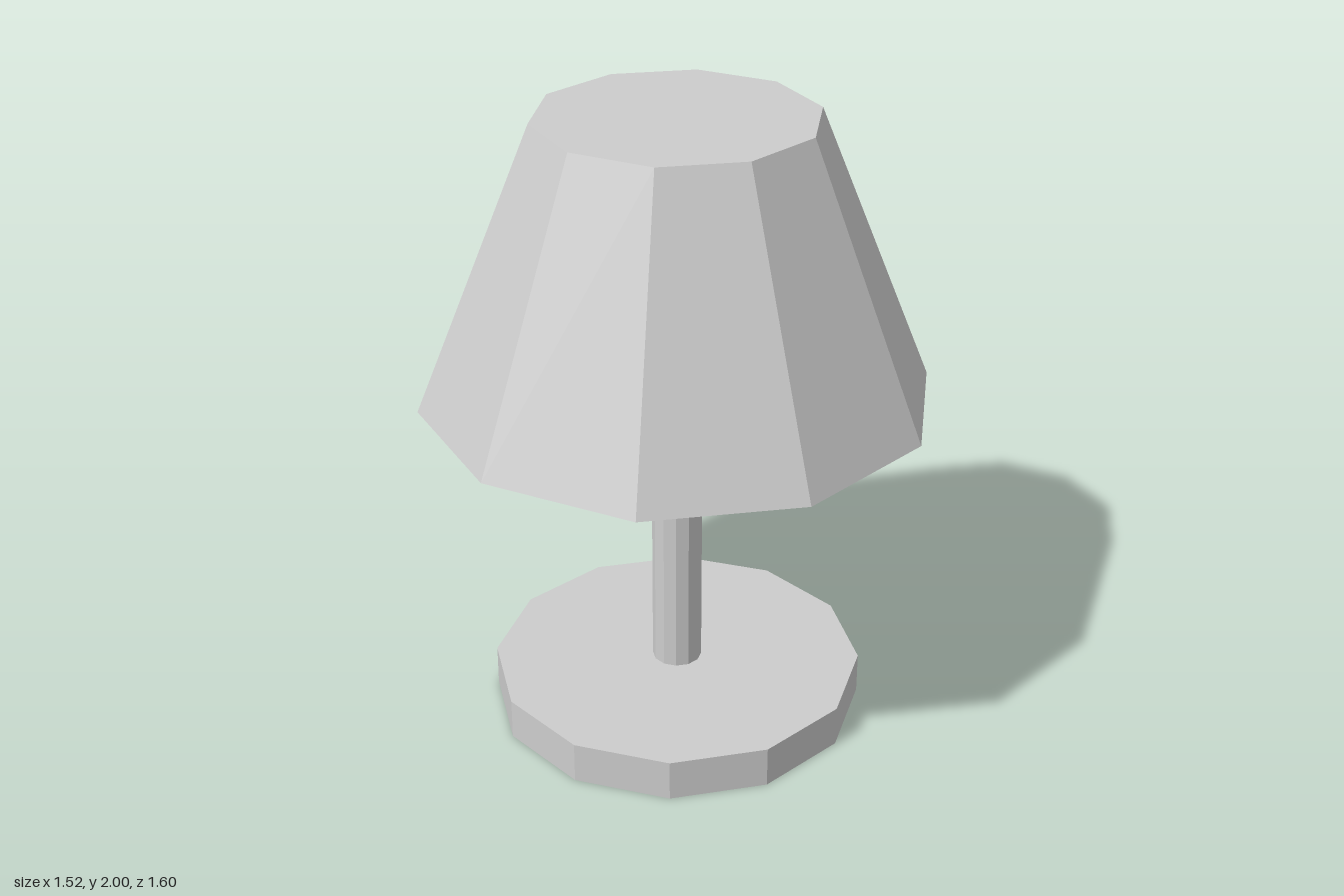
import * as THREE from 'three';

export function createModel() {
  const lamp = new THREE.Group();
  lamp.name = 'tableLamp';

  const grey = new THREE.MeshStandardMaterial({ color: 0xcccccc, flatShading: true });
  grey.name = 'light grey';

  // Adds one faceted, capped section standing between two heights
  function addSection(name, topRadius, bottomRadius, y0, y1, sides) {
    const geometry = new THREE.CylinderGeometry(topRadius, bottomRadius, y1 - y0, sides);
    const mesh = new THREE.Mesh(geometry, grey);
    mesh.name = name;
    mesh.position.y = (y0 + y1) / 2;
    lamp.add(mesh);
  }

  addSection('base', 0.6, 0.6, 0, 0.135, 12);
  addSection('stem', 0.08, 0.08, 0.135, 1.105, 12);
  addSection('shade', 0.433, 0.8, 1.105, 2, 10);

  return lamp;
}
